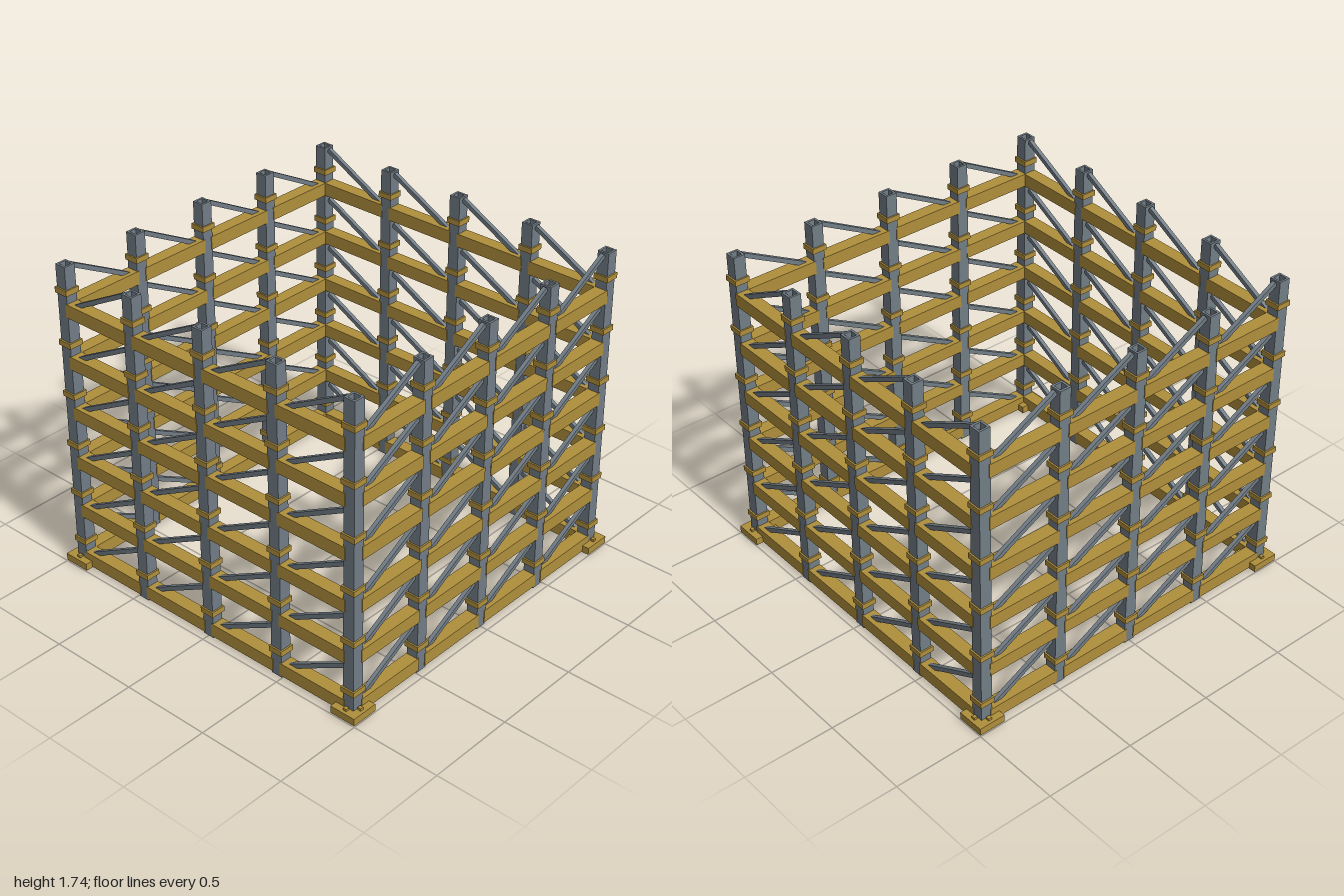
import * as THREE from 'three';

const steel = new THREE.MeshStandardMaterial({ color: 0x727d86 });
steel.name = 'steel';
const brass = new THREE.MeshStandardMaterial({ color: 0xb08f3c });
brass.name = 'ochre';

const EDGE = 0.925;          // distance of each wall from the centre
const BAY = EDGE / 2;        // column spacing
const TIER = 0.291;          // height of one storey
const TIERS = 6;
const HEIGHT = 1.74;

// Square tube standing on y = 0
function squareTube(size, hole, height) {
  const square = (Target, w) => new Target([
    new THREE.Vector2(-w / 2, -w / 2), new THREE.Vector2(w / 2, -w / 2),
    new THREE.Vector2(w / 2, w / 2), new THREE.Vector2(-w / 2, w / 2),
  ]);
  const shape = square(THREE.Shape, size);
  shape.holes.push(square(THREE.Path, hole));
  const geo = new THREE.ExtrudeGeometry(shape, { depth: height, bevelEnabled: false });
  return geo.rotateX(-Math.PI / 2);
}

const columnGeo = squareTube(0.065, 0.042, HEIGHT);
const coreGeo = new THREE.BoxGeometry(0.028, HEIGHT - 0.03, 0.028);
const collarGeo = squareTube(0.082, 0.06, 0.03);
const beamGeo = new THREE.BoxGeometry(BAY - 0.046, 0.073, 0.072);
const braceGeo = new THREE.BoxGeometry(Math.hypot(0.395, 0.212), 0.024, 0.022);
const plateGeo = new THREE.BoxGeometry(0.15, 0.04, 0.15);
const lugGeo = new THREE.BoxGeometry(0.02, 0.014, 0.02);

function add(parent, name, geo, mat, x, y, z) {
  const mesh = new THREE.Mesh(geo, mat);
  mesh.name = name;
  mesh.position.set(x, y, z);
  parent.add(mesh);
  return mesh;
}

// Hollow post with an inner core and a collar on each storey
function addColumn(parent, x) {
  const column = new THREE.Group();
  column.name = 'column';
  column.position.set(x, 0, EDGE);
  add(column, 'post', columnGeo, steel, 0, 0, 0);
  add(column, 'postCore', coreGeo, steel, 0, (HEIGHT - 0.03) / 2, 0);
  for (let t = 0; t < TIERS; t++) add(column, 'collar', collarGeo, brass, 0, 0.132 + t * TIER, 0);
  parent.add(column);
}

// One wall facing +z; the next wall supplies the right-hand corner
function createWall() {
  const wall = new THREE.Group();
  wall.name = 'wall';
  for (let i = 0; i < 4; i++) {
    addColumn(wall, -EDGE + i * BAY);
    const mid = -EDGE + (i + 0.5) * BAY;
    for (let t = 0; t < TIERS; t++) {
      add(wall, 'beam', beamGeo, brass, mid, 0.049 + t * TIER, EDGE);
      // Diagonal rising to the right as seen from outside
      const brace = add(wall, 'brace', braceGeo, steel, mid, 0.163 + t * TIER, EDGE);
      brace.rotation.z = Math.atan2(0.212, 0.395);
    }
  }
  // Corner foot
  add(wall, 'footPlate', plateGeo, brass, -EDGE, 0.027, EDGE);
  add(wall, 'footLug', lugGeo, brass, -EDGE - 0.048, 0.053, EDGE);
  add(wall, 'footLug', lugGeo, brass, -EDGE, 0.053, EDGE + 0.048);
  return wall;
}

export function createModel() {
  const model = new THREE.Group();
  model.name = 'scaffoldFrame';
  for (let side = 0; side < 4; side++) {
    const wall = createWall();
    wall.rotation.y = side * Math.PI / 2;
    model.add(wall);
  }
  return model;
}
